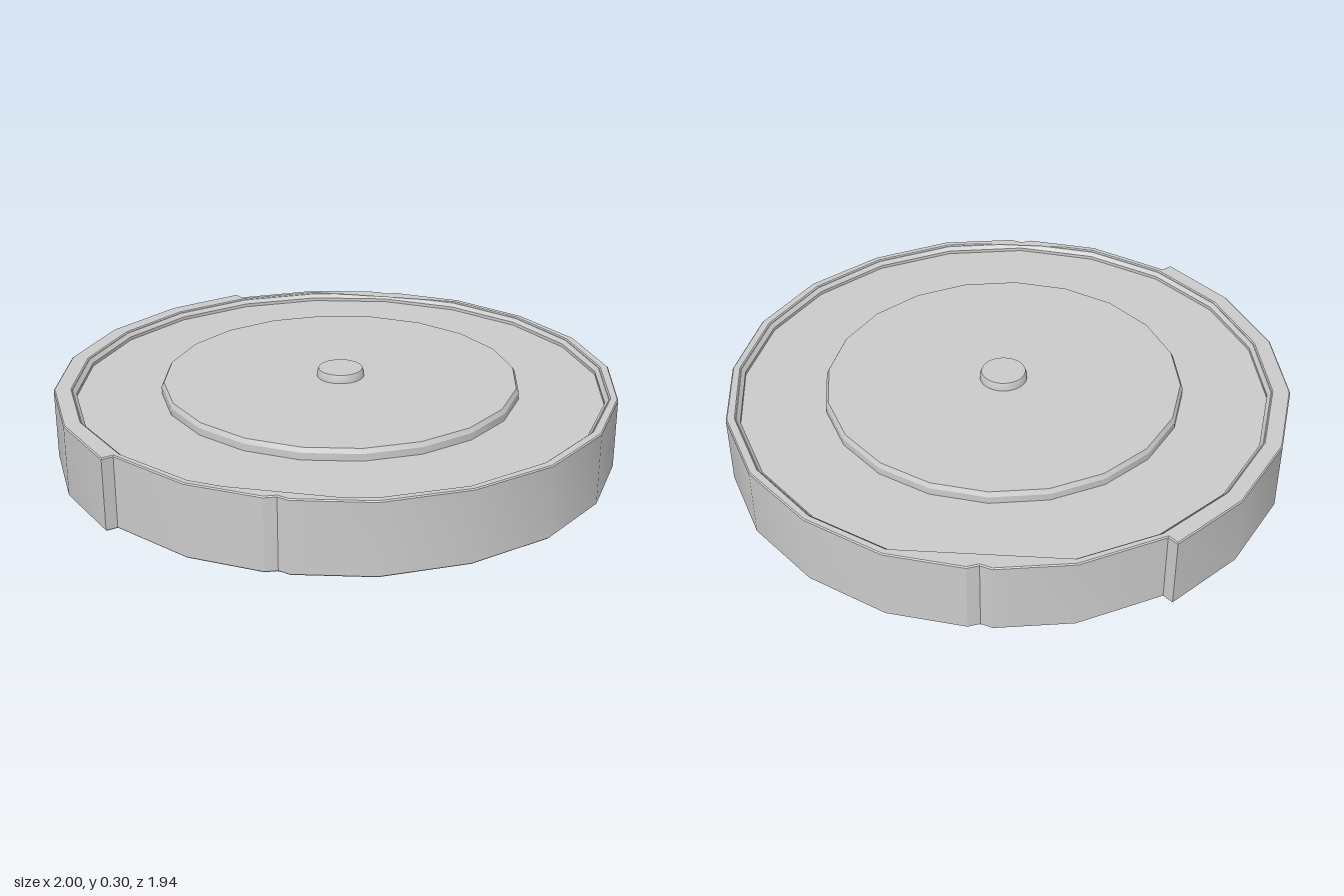
import * as THREE from 'three';
import { toCreasedNormals } from 'three/addons/utils/BufferGeometryUtils.js';

const material = new THREE.MeshStandardMaterial({ color: 0xcccccc });
const CX = 0.015; // centre of the round body
const SIDES = 20;

function part(name, geometry, x = CX) {
  const mesh = new THREE.Mesh(toCreasedNormals(geometry, 0.42), material);
  mesh.name = name;
  mesh.position.x = x;
  return mesh;
}

// Turned part from [radius, height] pairs, listed from bottom to top
function turned(name, profile, sides) {
  const points = profile.map(([r, y]) => new THREE.Vector2(r, y));
  return part(name, new THREE.LatheGeometry(points, sides));
}

export function createModel() {
  const group = new THREE.Group();
  group.name = 'roundCleaner';

  // Bumper outline: half of it, from +x round to -x, with a small notch
  // at the middle and a step where the bumper shell ends
  const half = [
    [0.995, 0], [0.95, 0.305], [0.81, 0.578], [0.59, 0.79], [0.32, 0.93],
    [0.055, 0.97], [0.015, 0.955], [-0.025, 0.97], [-0.285, 0.93],
    [-0.56, 0.787], [-0.59, 0.815], [-0.80, 0.60], [-0.95, 0.31], [-1, 0],
  ];
  const mirrored = half.slice(1, -1).reverse().map(([x, z]) => [x, -z]);
  const outline = new THREE.Shape([...half, ...mirrored].map(([x, z]) => new THREE.Vector2(x, z)));

  // Recess for the top deck
  const hole = [];
  for (let i = 0; i < SIDES; i++) {
    const a = -i * Math.PI * 2 / SIDES;
    hole.push(new THREE.Vector2(CX + 0.95 * Math.cos(a), 0.95 * Math.sin(a)));
  }
  outline.holes.push(new THREE.Path(hole));

  const bevel = 0.004;
  const shell = new THREE.ExtrudeGeometry(outline, {
    depth: 0.26 - 2 * bevel, bevelEnabled: true, bevelSegments: 1,
    bevelSize: bevel, bevelThickness: bevel, bevelOffset: -bevel,
  });
  shell.rotateX(-Math.PI / 2).translate(0, bevel, 0);
  group.add(part('bumperShell', shell, 0));

  // Body core: flat underside, sunken deck and sloped inner edge of the rim
  group.add(turned('bodyCore', [
    [0, 0], [0.953, 0], [0.953, 0.255], [0.948, 0.255], [0.935, 0.242], [0.935, 0.23], [0, 0.23],
  ], SIDES));

  // Raised plate with a bevelled edge
  group.add(turned('topPlate', [
    [0.637, 0.225], [0.637, 0.255], [0.628, 0.271], [0, 0.271],
  ], SIDES));

  // Round button in the middle
  group.add(turned('button', [
    [0.084, 0.265], [0.084, 0.285], [0.078, 0.3], [0, 0.3],
  ], 40));

  return group;
}
